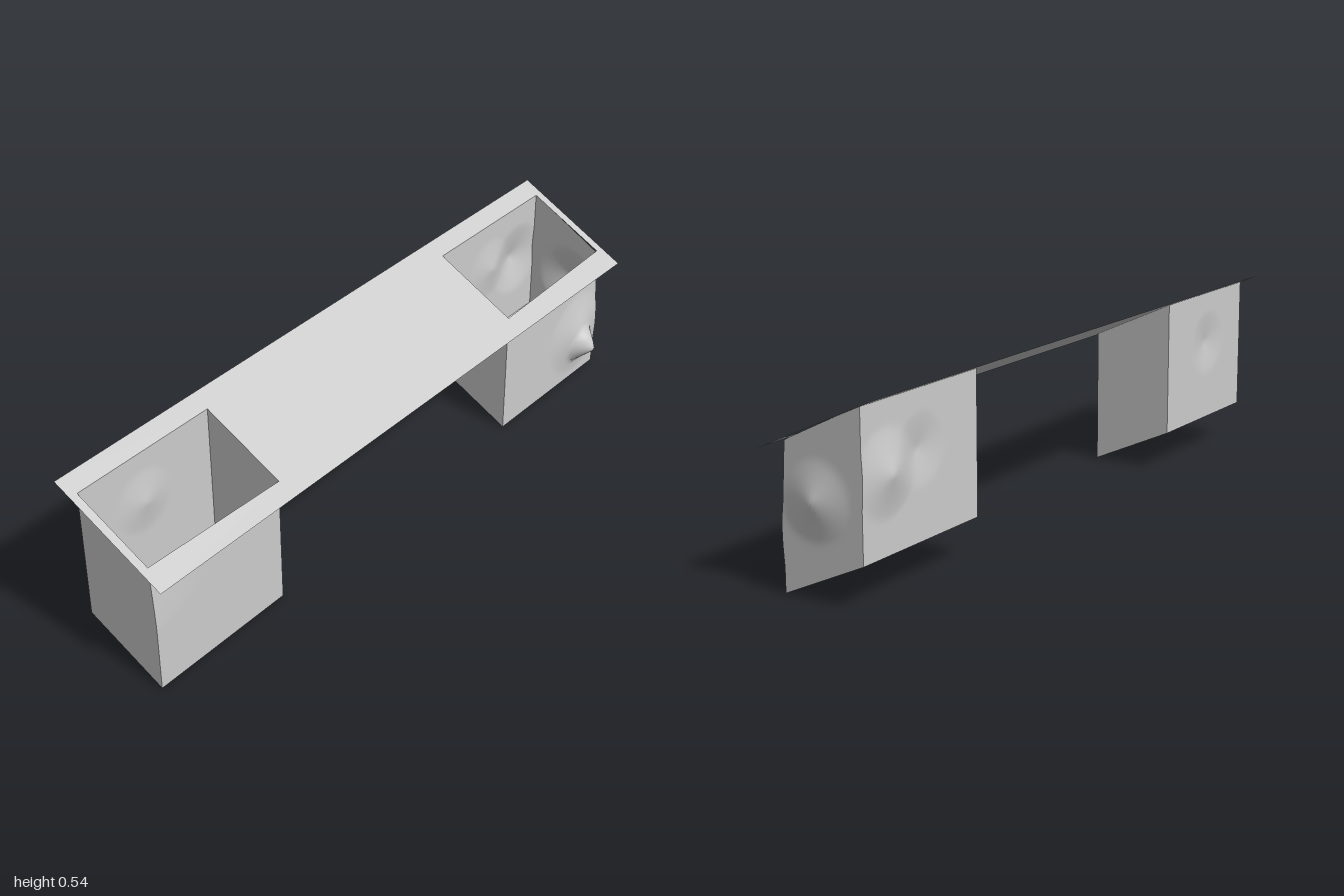
import * as THREE from 'three';

const SLOPE = -0.464, TOP = 0.455, DEPTH = 0.4;
const X0 = -0.136, X1 = 0.115, PULL = 0.012;

const material = new THREE.MeshStandardMaterial({ color: 0xcccccc, side: THREE.DoubleSide });

// Tilts a level geometry so that y follows the slope across x
function tilt(geometry) {
  const p = geometry.attributes.position;
  for (let i = 0; i < p.count; i++) p.setY(i, p.getY(i) + SLOPE * p.getX(i));
}

// Pushes nearby vertices by a vector, fading to nothing at the radius
function applyDents(geometry, dents) {
  const p = geometry.attributes.position;
  const v = new THREE.Vector3();
  for (let i = 0; i < p.count; i++) {
    v.fromBufferAttribute(p, i);
    const move = new THREE.Vector3();
    for (const { at, push, radius, power = 1.3 } of dents) {
      const d = v.distanceTo(new THREE.Vector3(...at)) / radius;
      if (d < 1) move.addScaledVector(new THREE.Vector3(...push), (1 - d) ** power);
    }
    v.add(move);
    p.setXYZ(i, v.x, v.y, v.z);
  }
}

// Open-topped bin with a floor and four walls
function makeBin(name, z0, z1, dents) {
  const g = new THREE.BoxGeometry(X1 - X0, DEPTH, z1 - z0, 26, 40, 48);
  const lid = g.groups[2];
  const index = Array.from(g.index.array);
  index.splice(lid.start, lid.count);
  g.setIndex(index);
  g.clearGroups();
  g.translate((X0 + X1) / 2, TOP - DEPTH / 2, (z0 + z1) / 2);
  tilt(g);
  applyDents(g, dents);
  g.computeVertexNormals();
  const mesh = new THREE.Mesh(g, material);
  mesh.name = name;
  return mesh;
}

// Thin sloping sheet with an opening over each bin
function makeSheet(bins) {
  const outline = (pts) => pts.map(([x, z]) => new THREE.Vector2(x, -z));
  const shape = new THREE.Shape(outline([[-0.19, 1], [0.17, 1], [0.17, -1], [-0.19, -1]]));
  for (const [z0, z1] of bins) {
    const pulledAt = z0 > 0 ? z1 : z0;
    const right = (z) => X1 - (z === pulledAt ? PULL : 0);
    shape.holes.push(new THREE.Path(outline([[X0, z0], [right(z0), z0], [right(z1), z1], [X0, z1]])));
  }
  const g = new THREE.ShapeGeometry(shape);
  g.rotateX(-Math.PI / 2);
  g.translate(0, TOP, 0);
  tilt(g);
  g.computeVertexNormals();
  const mesh = new THREE.Mesh(g, material);
  mesh.name = 'slopedTop';
  return mesh;
}

export function createModel() {
  const group = new THREE.Group();
  group.name = 'slopedTopWithBins';
  const front = [0.51, 0.975], back = [-0.975, -0.498];
  group.add(makeSheet([front, back]));

  // Rim corner pulled in, and shallow dents in the long walls
  const wear = (zEnd, zMid) => [
    { at: [X1, TOP + SLOPE * X1, zEnd], push: [-PULL, 0, 0], radius: 0.2 },
    { at: [X0, 0.36, zMid], push: [0.014, 0, 0], radius: 0.1 },
  ];
  group.add(makeBin('frontBin', ...front, wear(0.975, 0.76)));
  group.add(makeBin('backBin', ...back, [
    ...wear(-0.975, -0.74),
    // Sharp spike on a broad swelling
    { at: [X1, 0.16, -0.87], push: [0.03, 0, 0], radius: 0.14 },
    { at: [X1, 0.12, -0.88], push: [0.052, 0, 0], radius: 0.06, power: 1 },
    // Bulges in the opposite wall and the end wall
    { at: [X0, 0.33, -0.88], push: [-0.027, 0, 0], radius: 0.12 },
    { at: [0.01, 0.26, -0.975], push: [0, 0, -0.025], radius: 0.11 },
  ]));
  return group;
}
